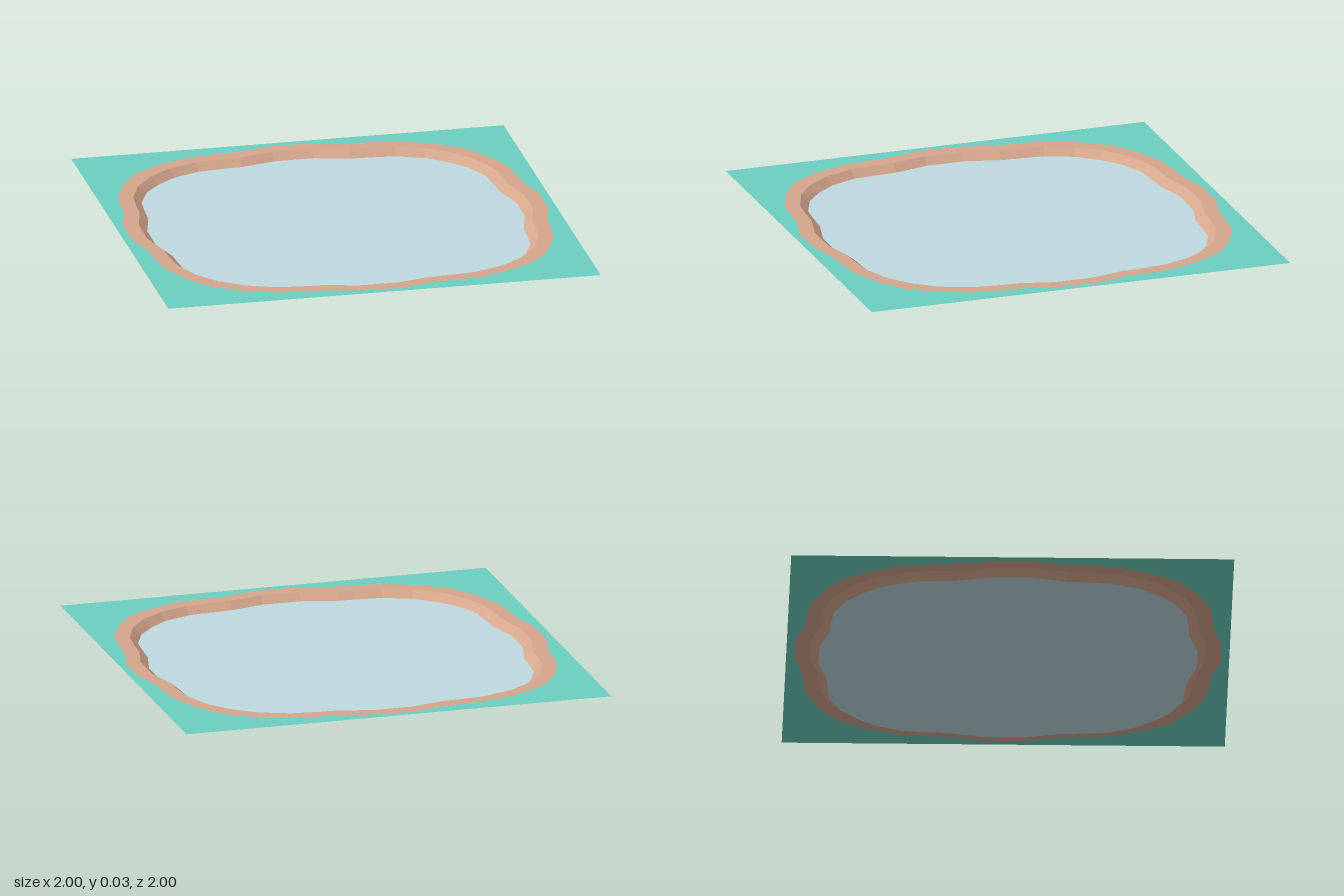
import * as THREE from 'three';

const TOP = 0.032;

// One eighth of each outline, from the middle of a side to the diagonal
const WATER = [[0.09, 0.853], [0.25, 0.812], [0.33, 0.808], [0.455, 0.797], [0.58, 0.745], [0.67, 0.67]];
const BANK = [[0.09, 0.892], [0.25, 0.852], [0.33, 0.849], [0.46, 0.834], [0.595, 0.78], [0.7, 0.7]];
const BEACH = [[0.095, 0.962], [0.25, 0.922], [0.345, 0.918], [0.485, 0.9], [0.64, 0.835], [0.755, 0.755]];

// Mirror an eighth over the diagonal, then turn it into four quarters (counter-clockwise)
function outline(eighth) {
  const quarter = [...eighth.map(([a, b]) => [b, a]), ...eighth.slice(0, -1).reverse()];
  const points = [];
  for (let q = 0; q < 4; q++) {
    for (const [x, y] of quarter) {
      points.push(new THREE.Vector2(x, y).rotateAround(new THREE.Vector2(), q * Math.PI / 2));
    }
  }
  return points;
}

// Flat horizontal sheet facing up, with an optional hole
function sheet(points, hole, y) {
  const shape = new THREE.Shape(points);
  if (hole) shape.holes.push(new THREE.Path(hole));
  return new THREE.ShapeGeometry(shape).rotateX(-Math.PI / 2).translate(0, y, 0);
}

// Sloping band between a low inner outline and a high outer one
function slope(inner, outer, y0, y1) {
  const positions = [];
  const index = [];
  const n = inner.length;
  for (let i = 0; i < n; i++) {
    positions.push(inner[i].x, y0, -inner[i].y, outer[i].x, y1, -outer[i].y);
    const a = 2 * i, b = 2 * ((i + 1) % n);
    index.push(a, a + 1, b + 1, a, b + 1, b);
  }
  const geometry = new THREE.BufferGeometry();
  geometry.setAttribute('position', new THREE.Float32BufferAttribute(positions, 3));
  geometry.setIndex(index);
  geometry.computeVertexNormals();
  return geometry;
}

export function createModel() {
  const model = new THREE.Group();
  model.name = 'pondTile';

  const material = (color) => new THREE.MeshStandardMaterial({ color, flatShading: true, side: THREE.DoubleSide });
  const add = (name, geometry, mat) => {
    const mesh = new THREE.Mesh(geometry, mat);
    mesh.name = name;
    model.add(mesh);
  };

  const grass = material(0x6ccfc0);
  const earth = material(0xd5a68c);
  const blue = material(0xbfd9df);

  const water = outline(WATER), bank = outline(BANK), beach = outline(BEACH);
  const square = [[1, 1], [-1, 1], [-1, -1], [1, -1]].map(([x, y]) => new THREE.Vector2(x, y));

  // Square ground, flat shore, sloping bank and sunken water surface
  add('grass', sheet(square, beach, TOP), grass);
  add('shore', sheet(beach, bank, TOP), earth);
  add('bank', slope(water, bank, 0, TOP), earth);
  add('water', sheet(water, null, 0), blue);

  return model;
}
